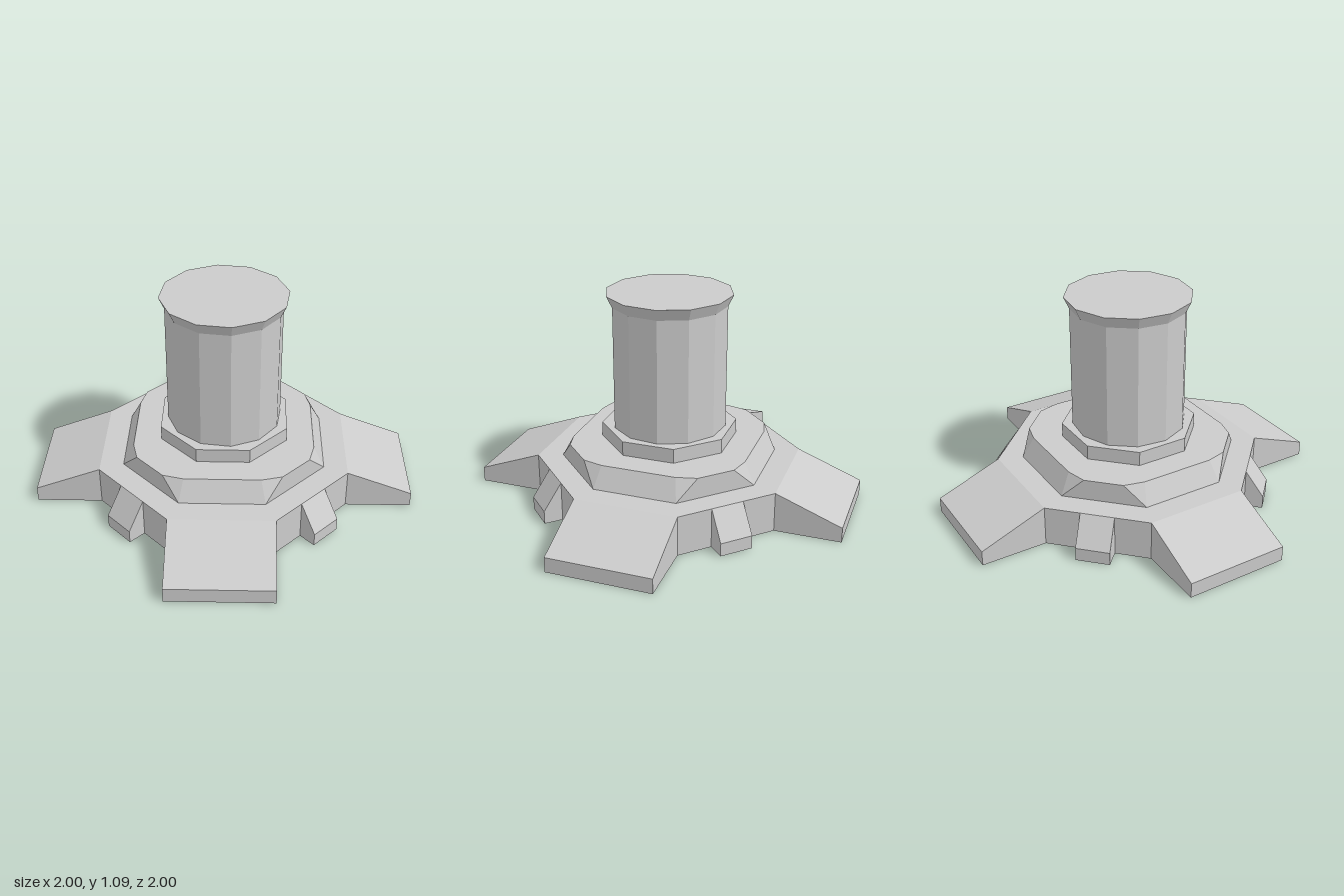
import * as THREE from 'three';
import { ConvexGeometry } from 'three/addons/geometries/ConvexGeometry.js';

const BASE_R = 0.69, BASE_H = 0.207;
const APOTHEM = BASE_R * Math.cos(Math.PI / 8);

export function createModel() {
  const model = new THREE.Group();
  const grey = new THREE.MeshStandardMaterial({ color: 0xcccccc, flatShading: true });

  function add(name, geometry, y = 0, turn = 0) {
    const mesh = new THREE.Mesh(geometry, grey);
    mesh.name = name;
    mesh.position.y = y;
    mesh.rotation.y = turn;
    model.add(mesh);
  }

  // Upright prism or flared drum resting on y0
  function drum(name, rTop, rBottom, y0, y1, sides) {
    add(name, new THREE.CylinderGeometry(rTop, rBottom, y1 - y0, sides), (y0 + y1) / 2);
  }

  // Block with a sloping top, reaching outwards from a side of the base
  function wedge(reach, lip, width) {
    const profile = new THREE.Shape([
      new THREE.Vector2(APOTHEM, 0),
      new THREE.Vector2(reach, 0),
      new THREE.Vector2(reach, lip),
      new THREE.Vector2(APOTHEM, BASE_H),
    ]);
    return new THREE.ExtrudeGeometry(profile, { depth: width, bevelEnabled: false })
      .translate(0, 0, -width / 2);
  }

  drum('basePlinth', BASE_R, BASE_R, 0, BASE_H, 8);

  // Ramps and small buttresses alternate round the eight sides
  const rampWidth = 2 * BASE_R * Math.sin(Math.PI / 8);
  const ramp = wedge(0.973, 0.078, rampWidth);
  const buttress = wedge(0.732, 0.068, 0.17);
  for (let i = 0; i < 4; i++) {
    const quarter = i * Math.PI / 2;
    add('ramp', ramp, 0, -(quarter + 3 * Math.PI / 8));
    add('buttress', buttress, 0, -(quarter + Math.PI / 8));
  }

  // Middle tier: four upright sides, with the four sides above the ramps bevelled
  const tierR = 0.56, innerR = 0.5, tierTop = 0.315;
  const points = [];
  const corner = (r, k, y) =>
    new THREE.Vector3(r * Math.cos(k * Math.PI / 4), y, r * Math.sin(k * Math.PI / 4));
  for (let k = 0; k < 8; k++) {
    points.push(corner(tierR, k, BASE_H), corner(innerR, k, tierTop));
    if (k % 2 === 0) {
      const a = corner(tierR, k, tierTop), b = corner(tierR, k + 1, tierTop);
      points.push(a.clone().lerp(b, 0.27), a.clone().lerp(b, 0.73));
    }
  }
  add('bevelledTier', new ConvexGeometry(points));

  // Collar, column and flared cap
  drum('collar', 0.35, 0.35, tierTop, 0.39, 8);
  drum('column', 0.295, 0.295, 0.39, 1.03, 12);
  drum('flaredCap', 0.323, 0.295, 1.03, 1.09, 12);

  return model;
}
